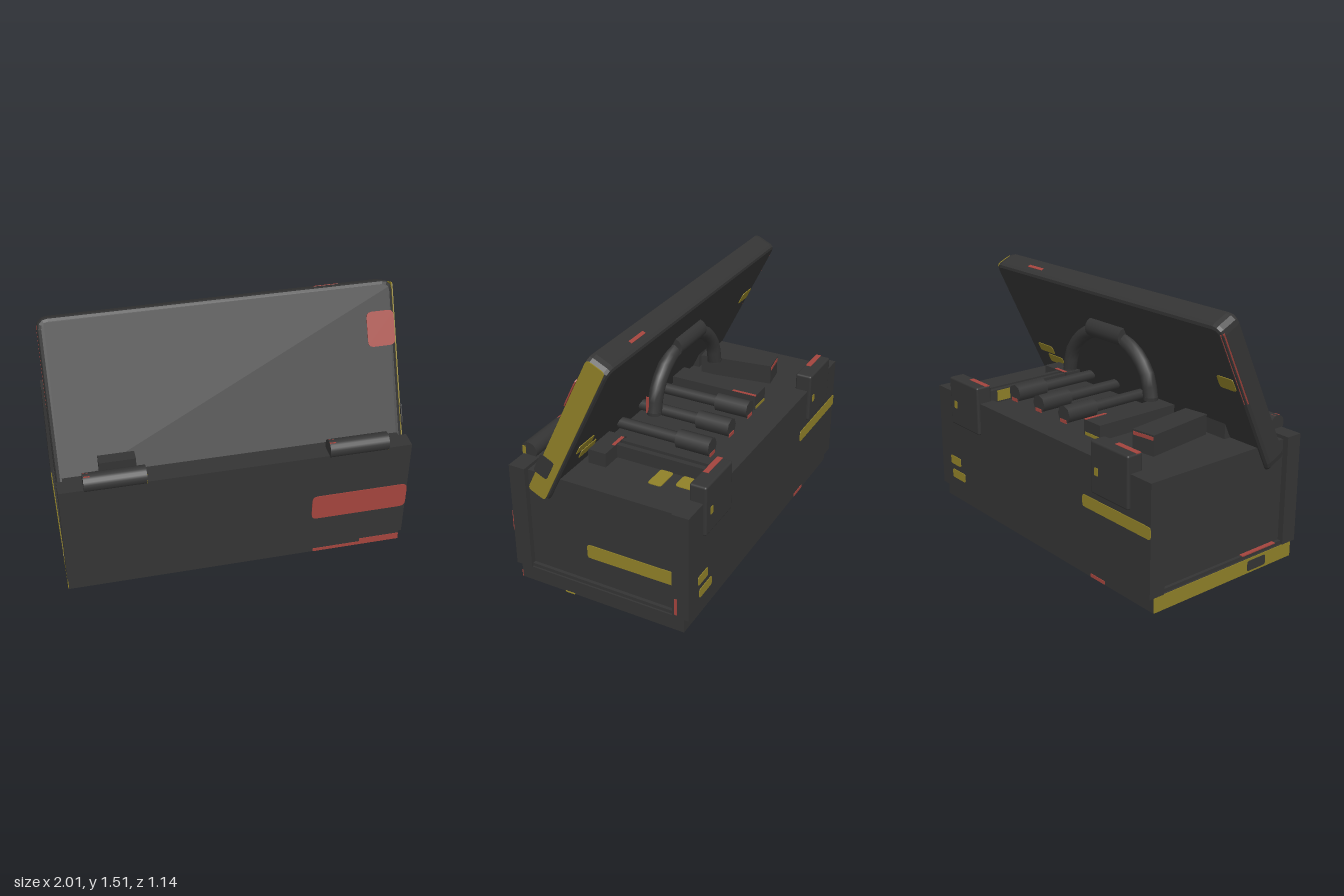
import * as THREE from 'three';
import { RoundedBoxGeometry } from 'three/addons/geometries/RoundedBoxGeometry.js';

const dark = new THREE.MeshStandardMaterial({ color: 0x343434 });
dark.name = 'dark grey';
const red = new THREE.MeshStandardMaterial({ color: 0xa3443d });
red.name = 'faded red';
const yellow = new THREE.MeshStandardMaterial({ color: 0x8f8028 });
yellow.name = 'olive yellow';

const T = 0.006; // thickness of painted patches

function add(parent, name, geometry, material, x = 0, y = 0, z = 0) {
  const mesh = new THREE.Mesh(geometry, material);
  mesh.name = name;
  mesh.position.set(x, y, z);
  parent.add(mesh);
  return mesh;
}

// Box given by its minimum and maximum corners
function box(parent, name, material, [x0, y0, z0], [x1, y1, z1]) {
  return add(parent, name, new THREE.BoxGeometry(x1 - x0, y1 - y0, z1 - z0), material,
    (x0 + x1) / 2, (y0 + y1) / 2, (z0 + z1) / 2);
}

function roundedRect(w, h, r) {
  const s = new THREE.Shape();
  const x = w / 2, y = h / 2;
  s.moveTo(-x + r, -y);
  s.lineTo(x - r, -y).quadraticCurveTo(x, -y, x, -y + r);
  s.lineTo(x, y - r).quadraticCurveTo(x, y, x - r, y);
  s.lineTo(-x + r, y).quadraticCurveTo(-x, y, -x, y - r);
  s.lineTo(-x, -y + r).quadraticCurveTo(-x, -y, -x + r, -y);
  return s;
}

// Thin painted patch with rounded corners; axis is the direction it faces
function patch(parent, material, axis, w, h, x, y, z) {
  const g = new THREE.ExtrudeGeometry(roundedRect(w, h, Math.min(w, h) * 0.2),
    { depth: T, bevelEnabled: false, curveSegments: 3 });
  g.translate(0, 0, -T / 2);
  if (axis === 'x') g.rotateY(Math.PI / 2);
  if (axis === 'y') g.rotateX(-Math.PI / 2);
  return add(parent, material.name + ' patch', g, material, x, y, z);
}

function cylinderZ(r, length, sides) {
  return new THREE.CylinderGeometry(r, r, length, sides).rotateX(Math.PI / 2);
}

function buildBody(root) {
  const body = new THREE.Group();
  body.name = 'boxBody';
  root.add(body);
  box(body, 'base', dark, [-0.995, 0, -0.52], [0.995, 0.09, 0.52]);
  box(body, 'core', dark, [-0.965, 0.09, -0.46], [0.965, 0.72, 0.46]);
  box(body, 'frontWall', dark, [-1, 0.09, 0.45], [1, 0.74, 0.55]);
  box(body, 'backWall', dark, [-1, 0.09, -0.55], [1, 0.74, -0.45]);
  for (const s of [-1, 1]) {
    box(body, 'sideSill', dark, [s * 0.975 - 0.01, 0.09, -0.45], [s * 0.975 + 0.01, 0.11, 0.45]);
  }
  // Front paint
  patch(body, red, 'z', 0.57, 0.165, 0.715, 0.372, 0.551);
  box(body, 'baseFrontPaint', red, [0.46, 0.001, 0.518], [0.996, 0.022, 0.523]);
  box(body, 'baseFrontPaintCorner', red, [0.75, 0.02, 0.518], [0.996, 0.045, 0.523]);
  // Right and left end paint
  patch(body, yellow, 'x', 0.54, 0.085, 0.966, 0.307, -0.18);
  box(body, 'wallEndPaint', red, [0.998, 0.105, -0.48], [1.002, 0.21, -0.465]);
  box(body, 'baseEndPaint', yellow, [-0.999, 0.001, -0.518], [-0.994, 0.089, 0.518]);
  patch(body, dark, 'x', 0.14, 0.06, -0.999, 0.045, 0.24);
  box(body, 'sillPaint', red, [-0.99, 0.108, 0.14], [-0.962, 0.114, 0.4]);
  // Back paint
  patch(body, yellow, 'z', 0.11, 0.055, 0.84, 0.28, -0.551);
  patch(body, yellow, 'z', 0.14, 0.055, 0.81, 0.19, -0.551);
  patch(body, yellow, 'z', 0.55, 0.07, -0.725, 0.465, -0.551);
  box(body, 'baseBackPaint', red, [-0.6, 0.002, -0.523], [-0.48, 0.022, -0.518]);
  // Underside paint
  patch(body, yellow, 'y', 0.17, 0.07, -0.742, 0, -0.134).position.y = 0.002;
  patch(body, yellow, 'y', 0.13, 0.07, -0.805, 0.002, -0.02);
  patch(body, yellow, 'y', 0.2, 0.07, 0.9, 0.002, 0.2);
  // Deck paint
  patch(body, yellow, 'y', 0.11, 0.11, 0.68, 0.721, -0.38);
  patch(body, yellow, 'y', 0.15, 0.08, 0.705, 0.721, -0.225);
}

function buildHardware(root) {
  for (const s of [-1, 1]) {
    // Front hinge barrels
    const hinge = add(root, 'hingeBarrel',
      new THREE.CylinderGeometry(0.052, 0.052, 0.345, 20).rotateZ(Math.PI / 2), dark, s * 0.688, 0.765, 0.513);
    box(hinge, 'hingeMark', red, [s < 0 ? -0.17 : -0.172, 0.042, -0.015], [-0.135, 0.05, 0.02]);
    box(hinge, 'hingeEndPaint', yellow, [0.172, -0.035, 0.02], [0.174, 0.025, 0.042]);
    // Back latches
    add(root, 'latch', new RoundedBoxGeometry(0.305, 0.3, 0.1, 2, 0.012), dark, s * 0.69, 0.69, -0.518);
    const left = s < 0 ? -0.84 : 0.54;
    box(root, 'latchMark', red, [left, 0.836, -0.51], [left + 0.17, 0.842, -0.478]);
    patch(root, yellow, 'z', 0.03, 0.045, s < 0 ? -0.59 : 0.78, 0.675, -0.568);
  }
}

function buildLid(root) {
  const lid = new THREE.Group();
  lid.name = 'lid';
  lid.position.set(0, 1.036, 0.169);
  lid.rotation.x = -0.447;
  root.add(lid);
  const panel = new THREE.ExtrudeGeometry(roundedRect(1.95, 0.95, 0.04), {
    depth: 0.09, bevelThickness: 0.025, bevelSize: 0.022, bevelSegments: 2, curveSegments: 3,
  });
  panel.translate(0, 0, -0.045);
  add(lid, 'lidPanel', panel, dark);
  // Edge paint
  patch(lid, yellow, 'x', 0.115, 0.96, 0.997, 0, 0.003);
  patch(lid, dark, 'x', 0.09, 0.13, 1.0, -0.28, 0.03);
  const edge = patch(lid, red, 'z', 0.025, 0.46, -0.987, 0.22, -0.058);
  edge.rotation.y = Math.PI / 4;
  box(lid, 'topEdgePaint', red, [0.56, 0.494, -0.02], [0.7, 0.499, 0.0]);
  // Face paint
  patch(lid, red, 'z', 0.16, 0.2, 0.91, 0.227, 0.071);
  patch(lid, yellow, 'z', 0.15, 0.06, 0.83, -0.13, -0.071);
  patch(lid, yellow, 'z', 0.15, 0.06, 0.764, -0.205, -0.071);
  patch(lid, yellow, 'z', 0.12, 0.08, -0.9, 0.115, -0.071);
}

function buildHandle(root) {
  const handle = new THREE.Group();
  handle.name = 'carryHandle';
  root.add(handle);
  const points = [];
  for (let i = 0; i <= 8; i++) {
    const a = Math.PI * i / 8;
    points.push(new THREE.Vector3(0.37 * Math.cos(a), 0.9 + 0.305 * Math.sin(a), 0));
  }
  add(handle, 'handleBow', new THREE.TubeGeometry(new THREE.CatmullRomCurve3(points), 16, 0.042, 10), dark);
  for (const p of [points[0], points[8]]) {
    add(handle, 'bowEnd', new THREE.CylinderGeometry(0.042, 0.042, 0.02, 10), dark, p.x, p.y, 0);
  }
  add(handle, 'grip', new THREE.CylinderGeometry(0.057, 0.057, 0.3, 14).rotateZ(Math.PI / 2), dark, 0, 1.205, 0);
  box(handle, 'handleMark', red, [0.395, 0.9, 0.02], [0.4, 1.0, 0.036]);
}

function buildTools(root) {
  const tools = new THREE.Group();
  tools.name = 'tools';
  root.add(tools);
  // Screwdrivers
  for (const x of [-0.067, 0.172, 0.412]) {
    add(tools, 'driverHandle', cylinderZ(0.054, 0.205, 8), dark, x, 0.803, -0.28);
    add(tools, 'driverShaft', cylinderZ(0.034, 0.38, 8), dark, x, 0.803, 0.01);
    box(tools, 'driverMark', red, [x - 0.025, 0.755, -0.386], [x + 0.03, 0.775, -0.38]);
  }
  // Long bar with a groove and a cross head
  box(tools, 'barLower', dark, [0.545, 0.72, -0.47], [0.63, 0.76, 0.12]);
  for (const x of [0.545, 0.6]) {
    box(tools, 'barRail', dark, [x, 0.76, -0.47], [x + 0.03, 0.8, 0.12]);
  }
  box(tools, 'barHead', dark, [0.53, 0.72, 0.09], [0.75, 0.805, 0.2]);
  box(tools, 'barHeadMark', red, [0.55, 0.803, 0.09], [0.65, 0.808, 0.11]);
  box(tools, 'barMark', yellow, [0.54, 0.73, -0.42], [0.546, 0.795, -0.33]);
  // Blocks
  box(tools, 'straightBlock', dark, [-0.35, 0.72, -0.35], [-0.21, 0.81, 0.2]);
  box(tools, 'straightBlockMark', red, [-0.227, 0.806, -0.35], [-0.21, 0.813, -0.2]);
  box(tools, 'straightBlockEnd', yellow, [-0.34, 0.722, -0.353], [-0.22, 0.74, -0.348]);
  const tilted = add(tools, 'tiltedBlock', new THREE.BoxGeometry(0.15, 0.12, 0.45), dark, -0.6, 0.78, -0.06);
  tilted.rotation.y = 0.14;
  box(tilted, 'tiltedBlockMark', red, [-0.07, 0.03, -0.228], [0.07, 0.05, -0.223]);
  box(tools, 'frontBlock', dark, [-0.76, 0.72, 0.2], [-0.555, 0.81, 0.425]);
}

export function createModel() {
  const root = new THREE.Group();
  root.name = 'openToolbox';
  buildBody(root);
  buildHardware(root);
  buildLid(root);
  buildHandle(root);
  buildTools(root);
  return root;
}
